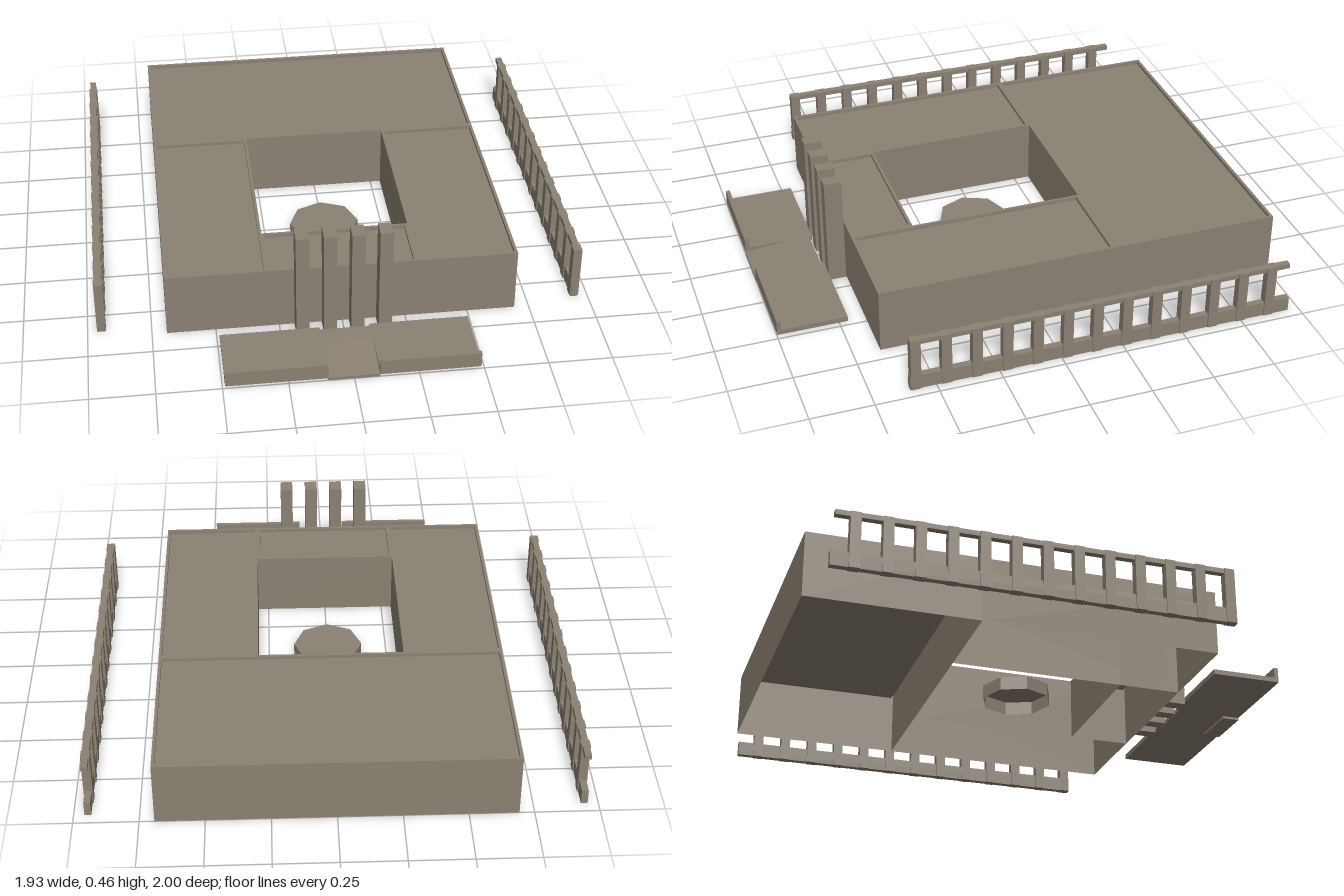
import * as THREE from 'three';

const stone = new THREE.MeshStandardMaterial({ color: 0x8a8172, side: THREE.DoubleSide });
stone.name = 'stone';

function add(parent, name, geometry) {
  const mesh = new THREE.Mesh(geometry, stone);
  mesh.name = name;
  parent.add(mesh);
  return mesh;
}

// Box given by its limits on each axis
function box(parent, name, x0, x1, y0, y1, z0, z1) {
  const mesh = add(parent, name, new THREE.BoxGeometry(x1 - x0, y1 - y0, z1 - z0));
  mesh.position.set((x0 + x1) / 2, (y0 + y1) / 2, (z0 + z1) / 2);
  return mesh;
}

// Flat-faced skin over stacked loops, capped on the last loop and open at the bottom
function shell(loops) {
  const pos = [];
  const tri = (...pts) => pts.forEach((p) => pos.push(...p));
  for (let k = 0; k + 1 < loops.length; k++) {
    const lo = loops[k], hi = loops[k + 1];
    lo.forEach((a, i) => {
      const j = (i + 1) % lo.length;
      tri(a, lo[j], hi[j]);
      tri(a, hi[j], hi[i]);
    });
  }
  const top = loops[loops.length - 1];
  for (let i = 1; i + 1 < top.length; i++) tri(top[0], top[i], top[i + 1]);
  const geometry = new THREE.BufferGeometry();
  geometry.setAttribute('position', new THREE.Float32BufferAttribute(pos, 3));
  geometry.computeVertexNormals();
  return geometry;
}

// Hollow wing with a narrow parapet round a sunken roof
function wing(parent, name, x0, x1, z0, z1) {
  const rim = 0.012, top = 0.265, roof = 0.25;
  const loop = (d, y) => [
    [x0 + d, y, z1 - d], [x1 - d, y, z1 - d], [x1 - d, y, z0 + d], [x0 + d, y, z0 + d],
  ];
  add(parent, name, shell([loop(0, 0), loop(0, top), loop(rim, top), loop(rim, roof)]));
}

// Colonnade: two rails joined by evenly spaced posts, open at the back end
function colonnade(name, x) {
  const group = new THREE.Group();
  group.name = name;
  box(group, 'bottomRail', -0.013, 0.013, 0, 0.06, -0.955, 0.603);
  box(group, 'topRail', -0.013, 0.013, 0.205, 0.225, -0.943, 0.6);
  for (let i = 0; i < 13; i++) {
    const z = 0.58 - i * 0.1206;
    box(group, 'post', -0.0175, 0.0175, 0, 0.225, z - 0.02, z + 0.02);
  }
  group.position.x = x;
  return group;
}

export function createModel() {
  const model = new THREE.Group();
  model.name = 'courtyardBuilding';

  // Four wings round the courtyard
  const building = new THREE.Group();
  building.name = 'building';
  model.add(building);
  wing(building, 'backWing', -0.692, 0.692, -1, -0.315);
  wing(building, 'leftWing', 0.293, 0.692, -0.315, 0.643);
  wing(building, 'rightWing', -0.692, -0.293, -0.315, 0.643);
  wing(building, 'frontWing', -0.293, 0.293, 0.39, 0.643);

  // Eight-sided basin in the courtyard
  const ring = (y) => Array.from({ length: 8 }, (_, i) => {
    const a = (i * Math.PI) / 4;
    return [0.143 * Math.cos(a), y, 0.042 - 0.143 * Math.sin(a)];
  });
  add(model, 'courtyardBasin', shell([ring(0), ring(0.055)]));

  // Entrance pillars
  for (const x of [-0.164, -0.056, 0.052, 0.16]) {
    box(model, 'entrancePillar', x - 0.026, x + 0.026, 0, 0.457, 0.645, 0.717);
  }

  // Forecourt: two terraces with a raised front lip
  const forecourt = new THREE.Group();
  forecourt.name = 'forecourt';
  model.add(forecourt);
  for (const [x0, x1] of [[-0.49, -0.1], [0.098, 0.488]]) {
    box(forecourt, 'terrace', x0, x1, 0.01, 0.03, 0.717, 1);
    box(forecourt, 'terraceLip', x0, x1, 0.01, 0.073, 0.983, 1);
  }

  // Ramp between the terraces
  const profile = new THREE.Shape([
    [0.73, 0.01], [0.93, 0.01], [0.93, 0], [1, 0], [1, 0.012], [0.8, 0.03], [0.73, 0.03],
  ].map(([z, y]) => new THREE.Vector2(z, y)));
  const ramp = new THREE.ExtrudeGeometry(profile, { depth: 0.198, bevelEnabled: false });
  ramp.translate(0, 0, -0.098).rotateY(-Math.PI / 2);
  add(forecourt, 'entranceRamp', ramp);

  // Freestanding colonnades on both sides
  model.add(colonnade('leftColonnade', 0.946), colonnade('rightColonnade', -0.946));
  return model;
}
